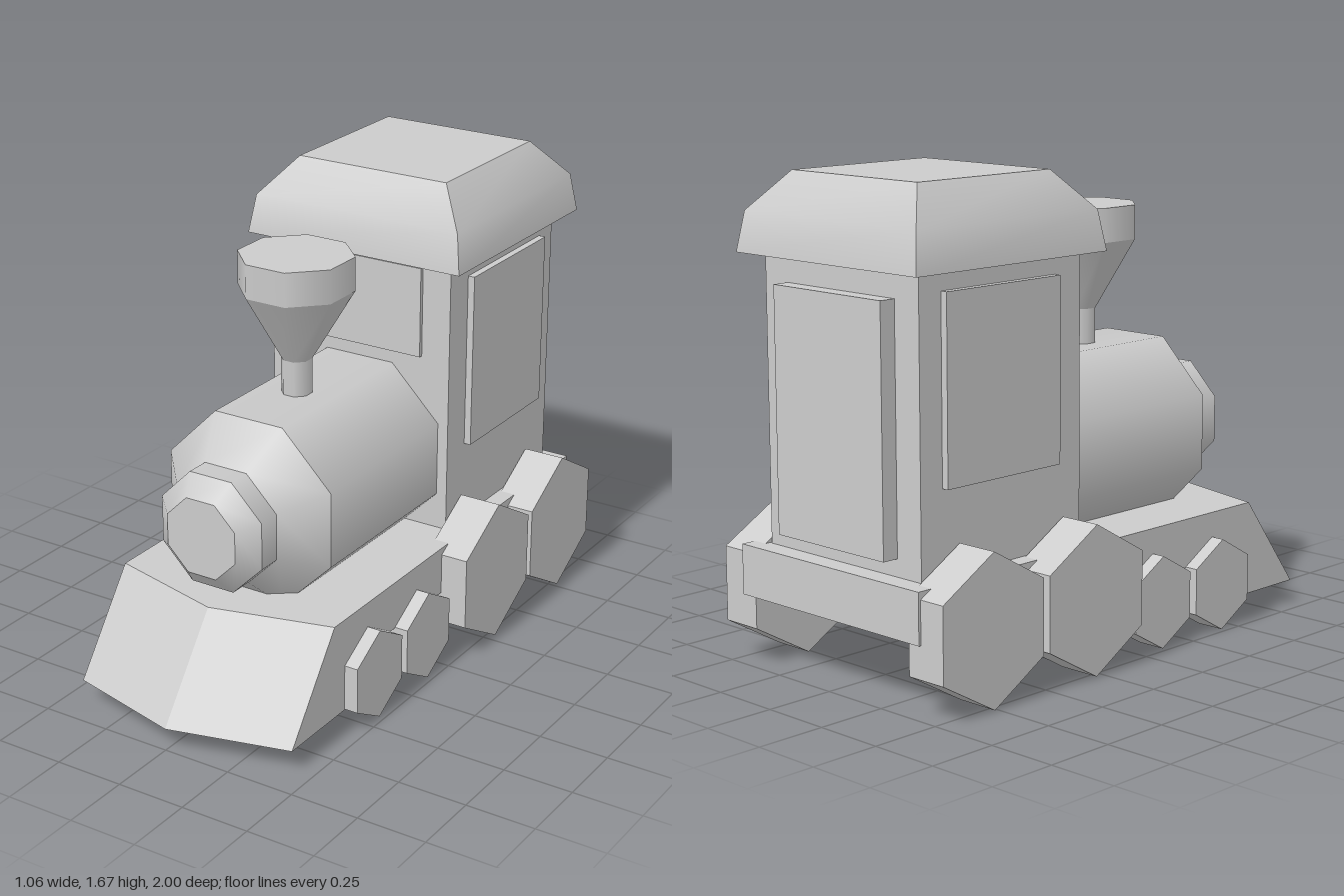
import * as THREE from 'three';

const smooth = new THREE.MeshStandardMaterial({ color: 0xcccccc });
const flat = new THREE.MeshStandardMaterial({ color: 0xcccccc, flatShading: true });

export function createModel() {
  const model = new THREE.Group();
  model.name = 'steamLocomotive';

  function add(name, geometry, material = smooth, parent = model) {
    const mesh = new THREE.Mesh(geometry, material);
    mesh.name = name;
    parent.add(mesh);
    return mesh;
  }

  // Box given by its minimum and maximum corners
  function box(name, [x0, y0, z0], [x1, y1, z1]) {
    const g = new THREE.BoxGeometry(x1 - x0, y1 - y0, z1 - z0);
    add(name, g.translate((x0 + x1) / 2, (y0 + y1) / 2, (z0 + z1) / 2));
  }

  // Stack of octagonal sections along y; the profile lists [flat radius, height]
  function octagonStack(name, profile) {
    const group = new THREE.Group();
    group.name = name;
    const k = 1 / Math.cos(Math.PI / 8);
    for (let i = 0; i < profile.length - 1; i++) {
      const [r0, h0] = profile[i], [r1, h1] = profile[i + 1];
      const g = new THREE.CylinderGeometry(r1 * k, r0 * k, h1 - h0, 8, 1, true, Math.PI / 8);
      add(name + 'Section', g.translate(0, (h0 + h1) / 2, 0), smooth, group);
    }
    const [r, h] = profile[profile.length - 1];
    const cap = new THREE.CircleGeometry(r * k, 8, Math.PI / 8).rotateX(-Math.PI / 2);
    add(name + 'Cap', cap.translate(0, h, 0), smooth, group);
    model.add(group);
    return group;
  }

  // Chassis
  box('chassis', [-0.43, 0.25, -1], [0.43, 0.425, 0.57]);

  // Pointed plow: extruded plan whose upper front edge leans back
  const plan = new THREE.Shape([[-0.43, -0.57], [-0.43, -0.89], [0, -1], [0.43, -0.89], [0.43, -0.57]]
    .map(([x, y]) => new THREE.Vector2(x, y)));
  const plow = new THREE.ExtrudeGeometry(plan, { depth: 0.34, bevelEnabled: false });
  plow.rotateX(-Math.PI / 2).translate(0, 0.085, 0);
  const p = plow.attributes.position;
  for (let i = 0; i < p.count; i++) {
    if (p.getY(i) > 0.3 && p.getZ(i) > 0.7) p.setZ(i, p.getZ(i) - 0.255);
  }
  add('plow', plow, flat);

  // Boiler with stepped nose
  const boiler = octagonStack('boiler',
    [[0.325, -0.195], [0.325, 0.495], [0.2, 0.63], [0.2, 0.715], [0.135, 0.775]]);
  boiler.rotation.x = Math.PI / 2;
  boiler.position.y = 0.69;

  // Funnel chimney
  const chimney = octagonStack('chimney', [[0.05, 0.98], [0.05, 1.14], [0.185, 1.39], [0.185, 1.51]]);
  chimney.position.z = 0.205;

  // Cab with raised window and door panels
  box('cab', [-0.365, 0.425, -0.925], [0.365, 1.41, -0.195]);
  box('frontWindow', [-0.255, 1.065, -0.2], [0.255, 1.39, -0.18]);
  box('backDoor', [-0.255, 0.485, -0.985], [0.255, 1.32, -0.92]);
  box('leftWindow', [0.36, 0.715, -0.83], [0.39, 1.345, -0.315]);
  box('rightWindow', [-0.39, 0.715, -0.83], [-0.36, 1.345, -0.315]);

  // Roof: four curved sides with sharp corners, flat top and underside
  const roof = new THREE.Group();
  roof.name = 'roof';
  roof.position.z = -0.565;
  const rings = [[0.43, 1.41], [0.408, 1.548], [0.297, 1.68]];
  const side = new THREE.BufferGeometry();
  side.setAttribute('position', new THREE.Float32BufferAttribute(
    rings.flatMap(([r, y]) => [-r, y, r, r, y, r]), 3));
  side.setIndex([0, 1, 3, 0, 3, 2, 2, 3, 5, 2, 5, 4]);
  side.computeVertexNormals();
  for (let i = 0; i < 4; i++) {
    add('roofSide', side, smooth, roof).rotation.y = i * Math.PI / 2;
  }
  add('roofTop', new THREE.PlaneGeometry(0.594, 0.594).rotateX(-Math.PI / 2).translate(0, 1.68, 0), smooth, roof);
  add('roofUnderside', new THREE.PlaneGeometry(0.86, 0.86).rotateX(Math.PI / 2).translate(0, 1.41, 0), smooth, roof);
  model.add(roof);

  // Hexagonal wheels on both sides: [z, y, radius, outer x]
  const wheels = [[-0.765, 0.268, 0.261, 0.53], [-0.285, 0.268, 0.261, 0.53],
    [0.11, 0.17, 0.165, 0.48], [0.43, 0.17, 0.165, 0.48]];
  for (const [z, y, r, outer] of wheels) {
    const width = outer - 0.375;
    const g = new THREE.CylinderGeometry(r, r, width, 6, 1, false, Math.PI / 6).rotateZ(Math.PI / 2);
    for (const s of [-1, 1]) {
      const name = (s > 0 ? 'left' : 'right') + (r > 0.2 ? 'DrivingWheel' : 'LeadingWheel');
      add(name, g, flat).position.set(s * (outer - width / 2), y, z);
    }
  }

  return model;
}
